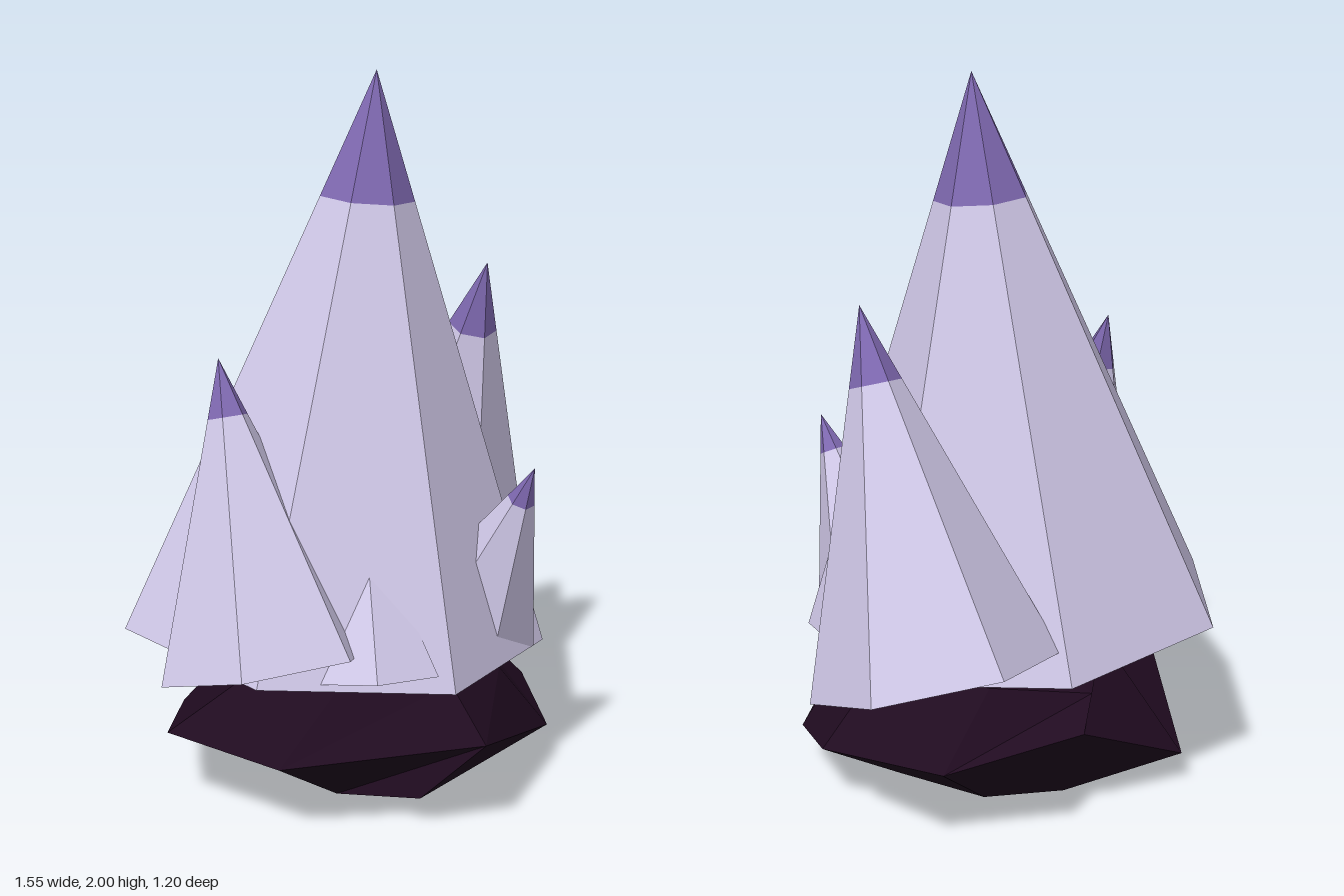
import * as THREE from 'three';

const mat = (name, color) => {
  const m = new THREE.MeshStandardMaterial({ color });
  m.name = name;
  return m;
};
const V = (p) => new THREE.Vector3(...p);

// Faceted skin over rings listed bottom to top; a one-point ring closes an end
function loft(rings) {
  const pos = [];
  const tri = (...pts) => pts.forEach((p) => pos.push(p.x, p.y, p.z));
  for (let k = 0; k < rings.length - 1; k++) {
    const a = rings[k], b = rings[k + 1];
    const n = Math.max(a.length, b.length);
    for (let i = 0; i < n; i++) {
      const a0 = a[i % a.length], a1 = a[(i + 1) % a.length];
      const b0 = b[i % b.length], b1 = b[(i + 1) % b.length];
      if (a.length > 1) tri(a0, b0, a1);
      if (b.length > 1) tri(a1, b0, b1);
    }
  }
  const g = new THREE.BufferGeometry();
  g.setAttribute('position', new THREE.Float32BufferAttribute(pos, 3));
  g.computeVertexNormals();
  return g;
}

// Leaning pyramid crystal: pale body with a coloured tip
function crystal(name, sides, centre, apex, corner, tipStart, bodyMat, tipMat) {
  const c = V(centre), top = V(apex);
  const axis = top.clone().sub(c).normalize();
  const u = V(corner).sub(c);
  u.addScaledVector(axis, -u.dot(axis));
  const w = u.clone().cross(axis);
  const base = Array.from({ length: sides }, (_, i) => {
    const t = (i / sides) * Math.PI * 2;
    return c.clone().addScaledVector(u, Math.cos(t)).addScaledVector(w, Math.sin(t));
  });
  const neck = base.map((p) => p.clone().lerp(top, tipStart));
  const body = new THREE.Mesh(loft([[c], base, neck]), bodyMat);
  const tip = new THREE.Mesh(loft([neck, [top]]), tipMat);
  body.name = name + 'Body';
  tip.name = name + 'Tip';
  const g = new THREE.Group();
  g.name = name;
  g.add(body, tip);
  return g;
}

export function createModel() {
  const pale = mat('pale lavender', 0xcfc7e7);
  const purple = mat('purple tip', 0x7f69b1);
  const dark = mat('dark rock', 0x200b20);
  const model = new THREE.Group();
  model.name = 'crystalCluster';

  // Crystals: name, sides, base centre, apex, one base corner, tip start
  [
    ['mainCrystal', 7, [-0.103, 0.46, -0.035], [0, 2, 0.04], [-0.295, 0.5, -0.605], 0.78],
    ['leftCrystal', 6, [0.455, 0.485, -0.27], [0.415, 1.43, 0.045], [0.775, 0.53, -0.365], 0.79],
    ['rightCrystal', 6, [-0.5, 0.485, 0.18], [-0.465, 1.27, -0.06], [-0.775, 0.465, 0.085], 0.81],
    ['smallFrontCrystal', 6, [0.14, 0.48, 0.28], [0.14, 0.98, 0.52], [-0.05, 0.468, 0.303], 0.8],
    ['buriedFrontCrystal', 6, [-0.295, 0.46, 0.37], [-0.24, 0.88, 0.27], [-0.41, 0.49, 0.52], 0.8],
  ].forEach((spec) => model.add(crystal(...spec, pale, purple)));

  // Jagged rock foot, from irregular cross-sections
  const rings = [
    [[0, 0, 0]],
    [[0.26, 0.02, 0.08], [0.14, 0.01, 0.26], [-0.18, 0.09, 0.43], [-0.24, 0.02, 0.15],
      [-0.24, 0.02, -0.05], [-0.2, 0.01, -0.33], [0, 0.01, -0.32], [0.2, 0.02, -0.2]],
    [[0.515, 0.17, 0.12], [0.38, 0.12, 0.36], [-0.1, 0.28, 0.6], [-0.53, 0.22, 0.26],
      [-0.62, 0.225, -0.12], [-0.28, 0.095, -0.52], [0.1, 0.27, -0.48], [0.4, 0.17, -0.24]],
    [[0.32, 0.38, 0.08], [0.22, 0.33, 0.32], [-0.08, 0.4, 0.44], [-0.33, 0.39, 0.26],
      [-0.36, 0.39, -0.02], [-0.25, 0.38, -0.24], [0, 0.34, -0.42], [0.22, 0.37, -0.24]],
    [[0.1, 0.42, 0.03], [0.07, 0.42, 0.1], [-0.04, 0.43, 0.15], [-0.13, 0.43, 0.1],
      [-0.17, 0.43, 0], [-0.13, 0.43, -0.1], [-0.03, 0.42, -0.15], [0.06, 0.42, -0.1]],
    [[-0.04, 0.43, 0]],
  ].map((ring) => ring.map(V));
  const rock = new THREE.Mesh(loft(rings), dark);
  rock.name = 'rockFoot';
  model.add(rock);
  return model;
}
